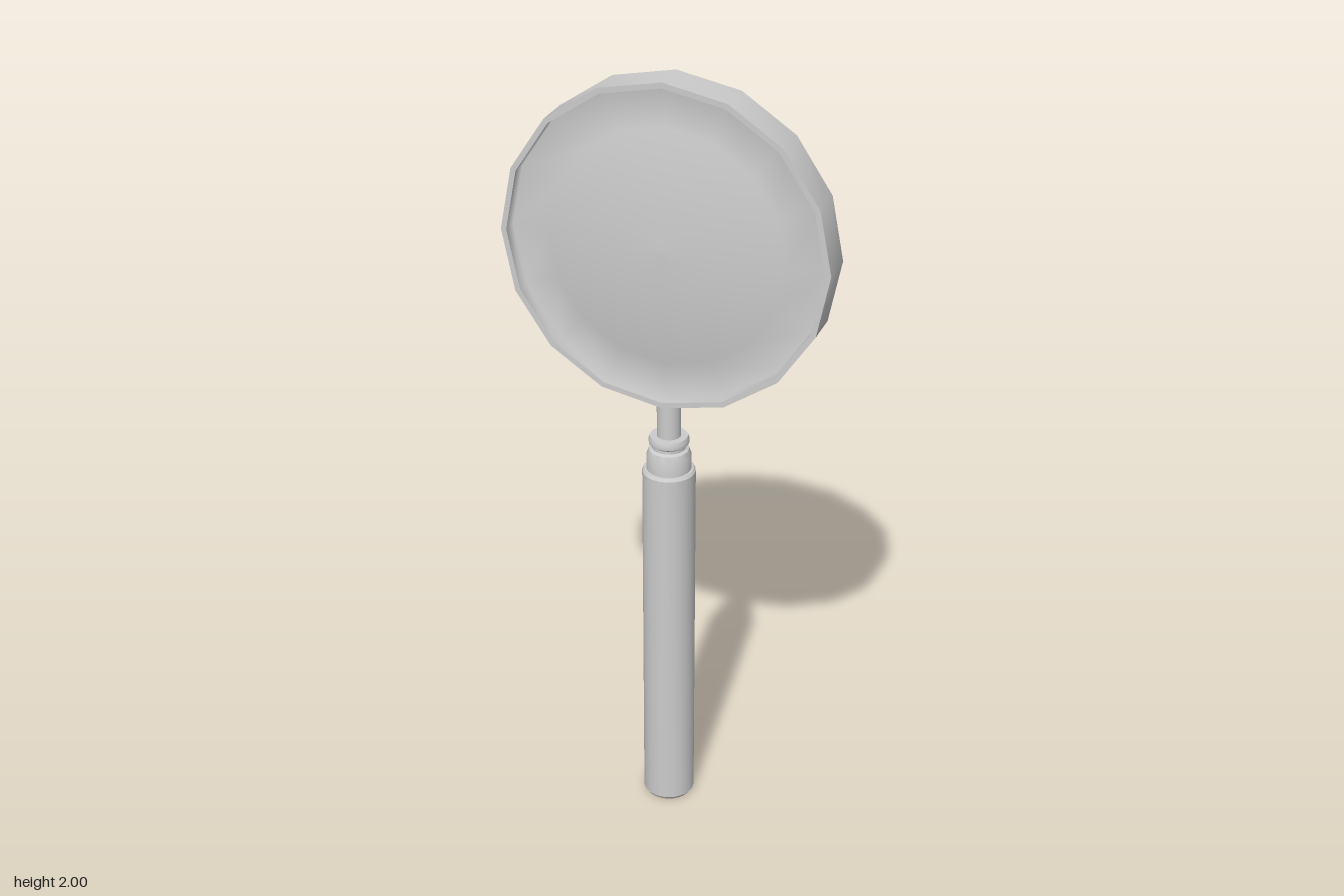
import * as THREE from 'three';
import { toCreasedNormals } from 'three/addons/utils/BufferGeometryUtils.js';

const RIM_R = 0.41, INNER_R = 0.396, HALF_DEPTH = 0.048, CENTRE_Y = 1.59;
const LENS_PEAK = 0.055, LENS_EDGE = 0.008;

const material = new THREE.MeshStandardMaterial({ color: 0xcccccc });

function lathe(points, sides) {
  return new THREE.LatheGeometry(points.map(([r, y]) => new THREE.Vector2(r, y)), sides);
}

function addMesh(parent, name, geometry) {
  const mesh = new THREE.Mesh(geometry, material);
  mesh.name = name;
  parent.add(mesh);
  return mesh;
}

export function createModel() {
  const model = new THREE.Group();
  model.name = 'magnifyingGlass';

  // Head: turned about y, then tipped so its axis runs along z
  const head = new THREE.Group();
  head.name = 'head';
  head.position.y = CENTRE_Y;
  head.rotation.x = Math.PI / 2;
  model.add(head);

  // Sixteen-sided frame band with narrow lips
  const band = lathe([
    [INNER_R, -HALF_DEPTH], [RIM_R, -HALF_DEPTH],
    [RIM_R, HALF_DEPTH], [INNER_R, HALF_DEPTH],
  ], 16);
  addMesh(head, 'frame', toCreasedNormals(band, 0.6));

  // Each lens face bulges in the middle and blends into the inner wall of the frame
  const face = [[INNER_R, HALF_DEPTH]];
  for (let i = 4; i >= 0; i--) {
    const t = i / 4;
    face.push([INNER_R * t, LENS_PEAK - (LENS_PEAK - LENS_EDGE) * t * t]);
  }
  addMesh(head, 'frontLens', lathe(face, 16));
  addMesh(head, 'backLens', lathe(face, 16)).rotation.x = Math.PI;

  // Grip with a small bevel at both ends
  const grip = lathe([
    [0, 0], [0.06, 0], [0.067, 0.01], [0.067, 0.985], [0.062, 0.992], [0, 0.992],
  ], 24);
  addMesh(model, 'grip', toCreasedNormals(grip, 0.6));

  // Stepped collar: sleeve, groove and bead
  const collar = lathe([
    [0.056, 0.985], [0.056, 1.03], [0.05, 1.046], [0.042, 1.05], [0.042, 1.058],
    [0.05, 1.064], [0.051, 1.073], [0.047, 1.083], [0, 1.083],
  ], 24);
  addMesh(model, 'collar', toCreasedNormals(collar, 0.6));

  // Stem joining the collar to the frame
  const stem = new THREE.CylinderGeometry(0.03, 0.03, 0.12, 16);
  addMesh(model, 'stem', stem).position.y = 1.13;

  return model;
}
